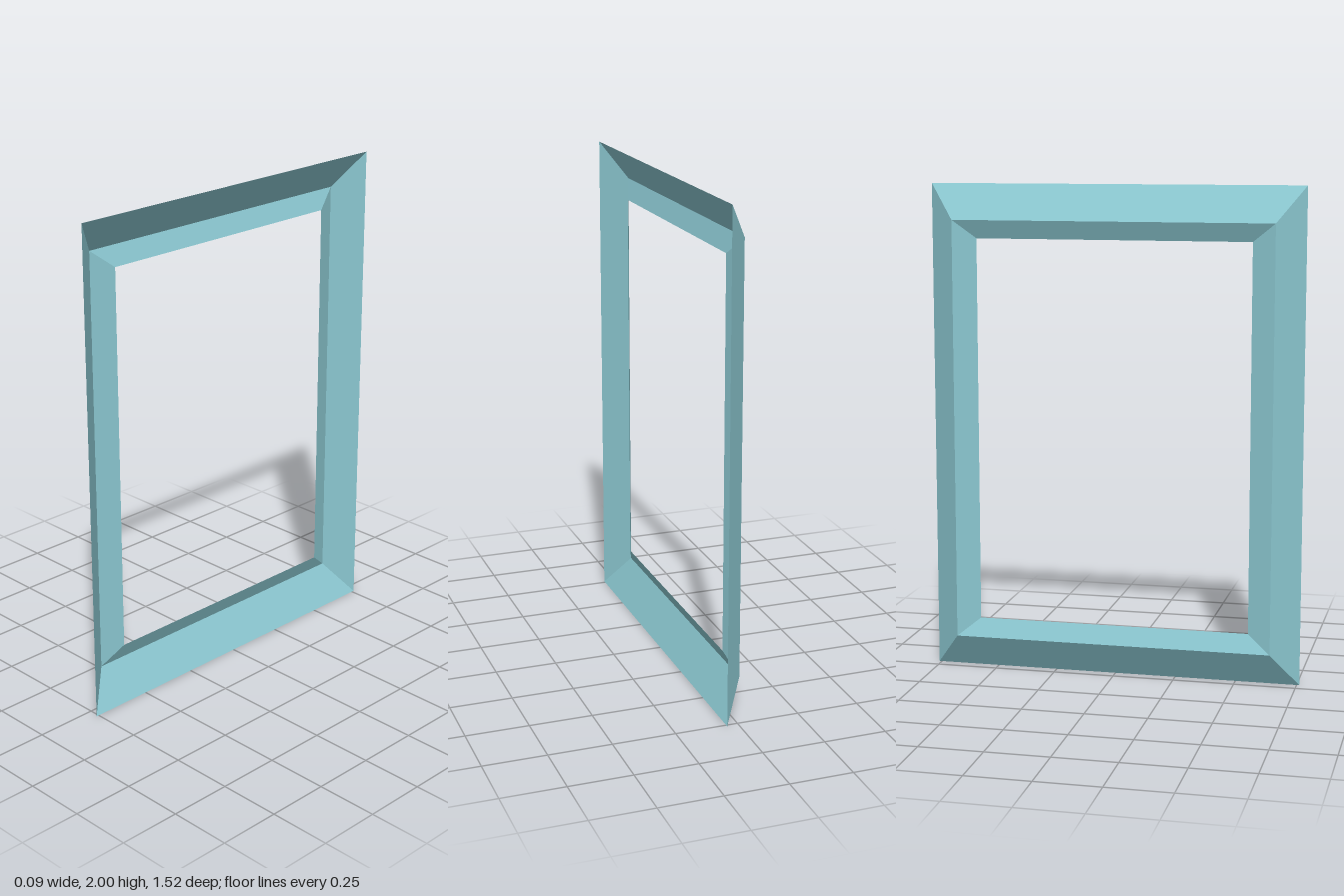
import * as THREE from 'three';

const frameBlue = new THREE.MeshStandardMaterial({ color: 0x8ac6cf, side: THREE.DoubleSide });
frameBlue.name = 'frameBlue';

// Rectangular loops of the moulding: depth x, half height, half width
const rim = { x: 0.046, h: 1.0, w: 0.761 };
const ridge = { x: -0.046, h: 0.857, w: 0.651 };
const opening = { x: -0.012, h: 0.783, w: 0.558 };

const corner = (loop, i) => {
  const [sy, sz] = [[-1, -1], [1, -1], [1, 1], [-1, 1]][i % 4];
  return [loop.x, 1 + sy * loop.h, sz * loop.w];
};

// Four mitred strips joining an outer loop to an inner one, facing -x
function bevel(name, outer, inner) {
  const group = new THREE.Group();
  group.name = name;
  ['Back', 'Top', 'Front', 'Bottom'].forEach((side, i) => {
    const a = corner(outer, i), b = corner(outer, i + 1);
    const c = corner(inner, i + 1), d = corner(inner, i);
    const geometry = new THREE.BufferGeometry();
    geometry.setAttribute('position',
      new THREE.Float32BufferAttribute([a, c, b, a, d, c].flat(), 3));
    geometry.computeVertexNormals();
    // Keep the strip's front on the -x side
    if (geometry.attributes.normal.getX(0) > 0) {
      geometry.setIndex([0, 2, 1, 3, 5, 4]);
      geometry.computeVertexNormals();
    }
    const mesh = new THREE.Mesh(geometry, frameBlue);
    mesh.name = name + side;
    group.add(mesh);
  });
  return group;
}

export function createModel() {
  const model = new THREE.Group();
  model.name = 'windowFrame';
  model.add(bevel('outerBevel', rim, ridge), bevel('innerBevel', ridge, opening));
  return model;
}
